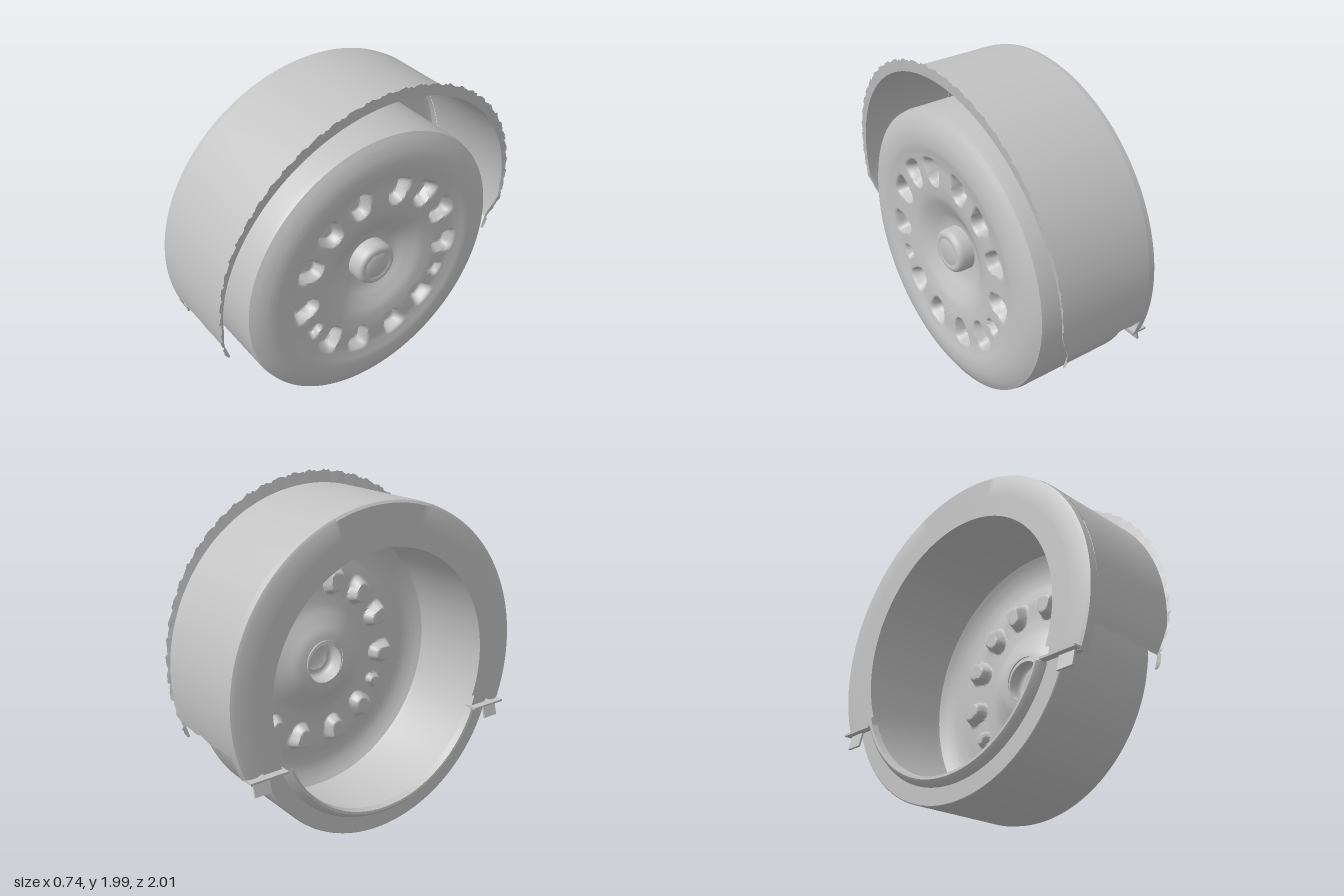
import * as THREE from 'three';
import { toCreasedNormals } from 'three/addons/utils/BufferGeometryUtils.js';

const CY = 0.845;      // wheel centre height
const ARCH_Y = 0.945;  // arch centre height
const ARCH_R = 0.968;
const RAD = Math.PI / 180;

// Surface from a rule: fn(u, v) -> [x, y, z], with u, v in 0..1
function grid(nu, nv, fn, crease = 0.6) {
  const pos = [], idx = [];
  for (let i = 0; i <= nu; i++)
    for (let j = 0; j <= nv; j++) pos.push(...fn(i / nu, j / nv));
  for (let i = 0; i < nu; i++)
    for (let j = 0; j < nv; j++) {
      const a = i * (nv + 1) + j, b = a + nv + 1;
      idx.push(a, b, a + 1, b, b + 1, a + 1);
    }
  const g = new THREE.BufferGeometry();
  g.setAttribute('position', new THREE.Float32BufferAttribute(pos, 3));
  g.setIndex(idx);
  return toCreasedNormals(g, crease);
}

// Point on a circle about the x axis, optionally widened along z
const polar = (x, r, a, cy, wide = 1) => [x, cy + r * Math.sin(a), -r * wide * Math.cos(a)];

// Sweep of [x, r] profile points about the x axis
function sweep(profile, a0, a1, cy, steps = 128) {
  const n = profile.length - 1;
  return grid(steps, n, (u, v) => {
    const [x, r] = profile[Math.round(v * n)];
    return polar(x, r, (a0 + (a1 - a0) * u) * RAD, cy);
  });
}

// Depth of the pressed pockets around the wheel face
const POCKETS = [75, 50, 24, -6, -28, -48, -75, 105, 130, 156, 186, 208, 228, 255].map(d => d * RAD);
function pocketDepth(r, a) {
  let depth = 0;
  POCKETS.forEach((p, i) => {
    const c = Math.cos(a - p);
    if (c < 0.9) return;
    const size = i === 4 || i === 11 ? 0.6 : 1; // two pockets are only partly pressed
    const u = r * Math.sin(a - p) / size, v = (r * c - 0.495) / size;
    const w = 0.064 + 0.22 * Math.max(-0.1, Math.min(0.1, v));
    const s = Math.pow(Math.pow(Math.abs(u / w), 3.2) + Math.pow(Math.abs(v / 0.08), 3.2), 1 / 3.2);
    depth = Math.max(depth, 0.065 * size * (1 - THREE.MathUtils.smoothstep(s, 0.65, 1.1)));
  });
  return depth;
}

// Deterministic ragged edge
const ragged = t => 0.005 * Math.sin(t * 61) + 0.003 * Math.sin(t * 137 + 1) + 0.003 * Math.sin(t * 211 + 2);

// Outer edge of the arch moves inwards lower down
const edgeX = y => (y > 0.88 ? 0.29 + 0.072 * Math.min(1, (y - 0.88) / 1.03) : 0.29 - 0.38 * (0.88 - y));
const backX = y => -0.335 + 0.022 * (y - 0.6) / 1.3;

export function createModel() {
  const group = new THREE.Group();
  const grey = new THREE.MeshStandardMaterial({ color: 0xc2c2c2, side: THREE.DoubleSide });
  grey.name = 'plain grey';
  const add = (name, geometry, parent = group) => {
    const m = new THREE.Mesh(geometry, grey);
    m.name = name;
    parent.add(m);
    return m;
  };

  // Wheel: thin tread, with a back sidewall on the lower half only
  const wheel = new THREE.Group();
  wheel.name = 'wheel';
  group.add(wheel);
  add('tread', sweep([[0.308, 0.838], [0.275, 0.845], [-0.305, 0.845]], 0, 360, CY), wheel);
  add('backSidewall', sweep([
    [-0.305, 0.845], [-0.325, 0.845], [-0.33, 0.84], [-0.33, 0.735],
  ], -165, -15, CY, 80), wheel);

  // Dished wheel face with pressed pockets
  const face = new THREE.SplineCurve([
    [0.838, 0.308], [0.79, 0.334], [0.73, 0.352], [0.66, 0.355], [0.60, 0.344], [0.55, 0.336],
    [0.50, 0.335], [0.45, 0.334], [0.40, 0.33], [0.33, 0.317], [0.26, 0.285], [0.19, 0.25], [0.12, 0.235],
  ].map(p => new THREE.Vector2(...p)));
  add('wheelFace', grid(288, 84, (u, v) => {
    const p = face.getPoint(v), a = u * 2 * Math.PI;
    return polar(p.y - pocketDepth(p.x, a), p.x, a, CY);
  }, 0.9), wheel);

  // Hub cap
  add('hub', sweep([
    [0.23, 0.131], [0.30, 0.13], [0.318, 0.126], [0.33, 0.117], [0.335, 0.104], [0.333, 0.09],
    [0.33, 0.082], [0.334, 0.072], [0.338, 0.05], [0.339, 0],
  ], 0, 360, CY + 0.015, 64), wheel);

  // Raised lip round the lower half of the back opening
  add('backLip', sweep([
    [-0.33, 0.745], [-0.36, 0.728], [-0.374, 0.71], [-0.372, 0.695], [-0.33, 0.69],
  ], -158, -22, CY, 80), wheel);

  // Arch around the wheel
  const arch = new THREE.Group();
  arch.name = 'wheelArch';
  group.add(arch);
  add('archShell', grid(160, 8, (u, v) => {
    const end = u === 0 || u === 1 ? ragged(v * 3) * 1.5 : 0;
    const a = (-14.5 + 209 * u) * RAD + end;
    const y = ARCH_Y + ARCH_R * Math.sin(a);
    return polar(THREE.MathUtils.lerp(-0.275, edgeX(y), v), ARCH_R, a, ARCH_Y, 1.016);
  }), arch);

  // Flared lip with a torn outer edge
  add('archLip', grid(240, 2, (u, v) => {
    const a = (-19 + 218 * u) * RAD;
    const s = Math.sin(a);
    const r = ARCH_R + v * (0.018 + 0.05 * Math.max(0, s) + ragged(a));
    return polar(edgeX(Math.max(0.72, ARCH_Y + ARCH_R * s)) + 0.008 * v, r, a, ARCH_Y, 1.01);
  }), arch);

  // Back wall with a bevelled rim and an off-centre opening
  add('archBackWall', grid(160, 4, (u, v) => {
    const a = (-23 + 226 * u) * RAD, s = Math.sin(a);
    const off = ARCH_Y - 0.925, hole = 0.735;
    const inner = -off * s + Math.sqrt(hole * hole - off * off * (1 - s * s));
    const r = [ARCH_R, 0.963, 0.95, (0.95 + inner) / 2, inner][Math.round(v * 4)];
    const bx = backX(ARCH_Y + r * s);
    return polar(v === 0 ? -0.275 : v < 0.3 ? bx + 0.01 : bx, r, a, ARCH_Y, v < 0.3 ? 1.014 : 1);
  }), arch);

  // Small folded brackets at the two lower ends
  for (const side of [-1, 1]) {
    const bracket = new THREE.Group();
    bracket.name = side > 0 ? 'frontBracket' : 'rearBracket';
    const top = add('bracketTop', new THREE.BoxGeometry(0.085, 0.012, 0.23), bracket);
    top.position.set(-0.332, 0.58, side * 0.79);
    const plate = add('bracketPlate', new THREE.BoxGeometry(0.012, 0.09, 0.1), bracket);
    plate.position.set(-0.345, 0.532, side * 0.825);
    plate.rotation.z = -0.25;
    arch.add(bracket);
  }
  return group;
}
